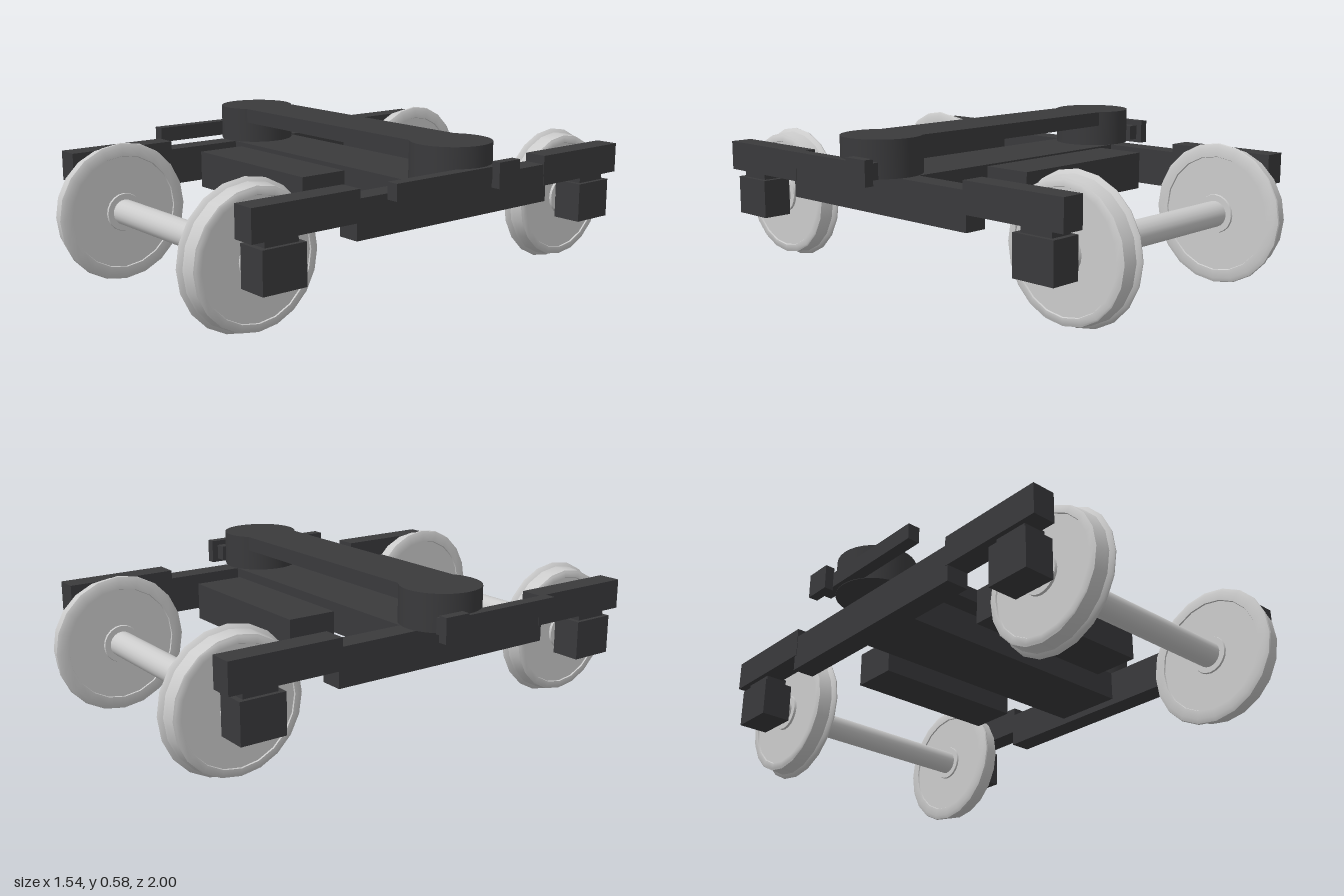
import * as THREE from 'three';
import { toCreasedNormals } from 'three/addons/utils/BufferGeometryUtils.js';

export function createModel() {
  const model = new THREE.Group();
  model.name = 'railBogie';
  const dark = new THREE.MeshStandardMaterial({ color: 0x3a3a3c });
  const grey = new THREE.MeshStandardMaterial({ color: 0xcccccc });

  const add = (name, geometry, material, parent = model) => {
    const mesh = new THREE.Mesh(geometry, material);
    mesh.name = name;
    parent.add(mesh);
    return mesh;
  };
  // Box given by its minimum and maximum on each axis
  const box = (name, [x0, x1], [y0, y1], [z0, z1]) => {
    const mesh = add(name, new THREE.BoxGeometry(x1 - x0, y1 - y0, z1 - z0), dark);
    mesh.position.set((x0 + x1) / 2, (y0 + y1) / 2, (z0 + z1) / 2);
    return mesh;
  };
  // Range on the +x (or +z) side, mirrored when s is -1
  const side = (s, a, b) => (s > 0 ? [a, b] : [-b, -a]);

  // Wheel profile: radius, distance from the track centre
  const profile = [
    [0.045, 0.385], [0.07, 0.385], [0.072, 0.392], [0.21, 0.392], [0.212, 0.387], [0.243, 0.387],
    [0.258, 0.394], [0.26, 0.399], [0.256, 0.405], [0.246, 0.413], [0.244, 0.425], [0.24, 0.464],
    [0.234, 0.468], [0.212, 0.468], [0.21, 0.463], [0.072, 0.463], [0.07, 0.472], [0.045, 0.472],
  ].map(([r, x]) => new THREE.Vector2(r, x));
  const wheelGeometry = toCreasedNormals(new THREE.LatheGeometry(profile, 20), 0.6);
  const axleGeometry = new THREE.CylinderGeometry(0.048, 0.048, 1.04, 20);

  // Two wheelsets
  for (const end of [1, -1]) {
    const wheelset = new THREE.Group();
    wheelset.name = end > 0 ? 'frontWheelset' : 'rearWheelset';
    wheelset.position.set(0, 0.262, end * 0.74);
    model.add(wheelset);
    add('axle', axleGeometry, grey, wheelset).rotation.z = Math.PI / 2;
    for (const s of [1, -1]) {
      add(s > 0 ? 'leftWheel' : 'rightWheel', wheelGeometry, grey, wheelset).rotation.z = -s * Math.PI / 2;
    }
    // Brake beam beside the bolster
    box('brakeBeam', [-0.315, 0.315], [0.33, 0.466], side(end, 0.26, 0.445));
  }

  // Cross members
  box('transom', [-0.56, 0.56], [0.33, 0.445], [-0.14, 0.14]);
  box('bolster', [-0.575, 0.575], [0.525, 0.58], [-0.112, 0.112]);

  for (const s of [1, -1]) {
    // Stepped side frame
    box('sideFrameMiddle', side(s, 0.53, 0.616), [0.305, 0.445], [-0.458, 0.458]);
    for (const end of [1, -1]) {
      box('sideFrameEnd', side(s, 0.53, 0.618), [0.365, 0.477], side(end, 0.445, 0.87));
      box('axleBox', side(s, 0.5, 0.616), [0.193, 0.34], side(end, 0.66, 0.83));
      box('axleBoxNeck', side(s, 0.515, 0.6), [0.335, 0.37], side(end, 0.68, 0.81));
    }
    // Round bearing pad at the end of the bolster
    const pad = add('bearingPad', new THREE.CylinderGeometry(0.145, 0.145, 0.135, 32), dark);
    pad.position.set(s * 0.575, 0.5125, 0);
    // Forward-reaching traction rod and its bracket
    box('tractionRod', side(s, 0.69, 0.735), [0.447, 0.505], [-0.115, 0.395]);
    box('rodBracket', side(s, 0.733, 0.768), [0.433, 0.524], [-0.14, -0.04]);
  }
  return model;
}
